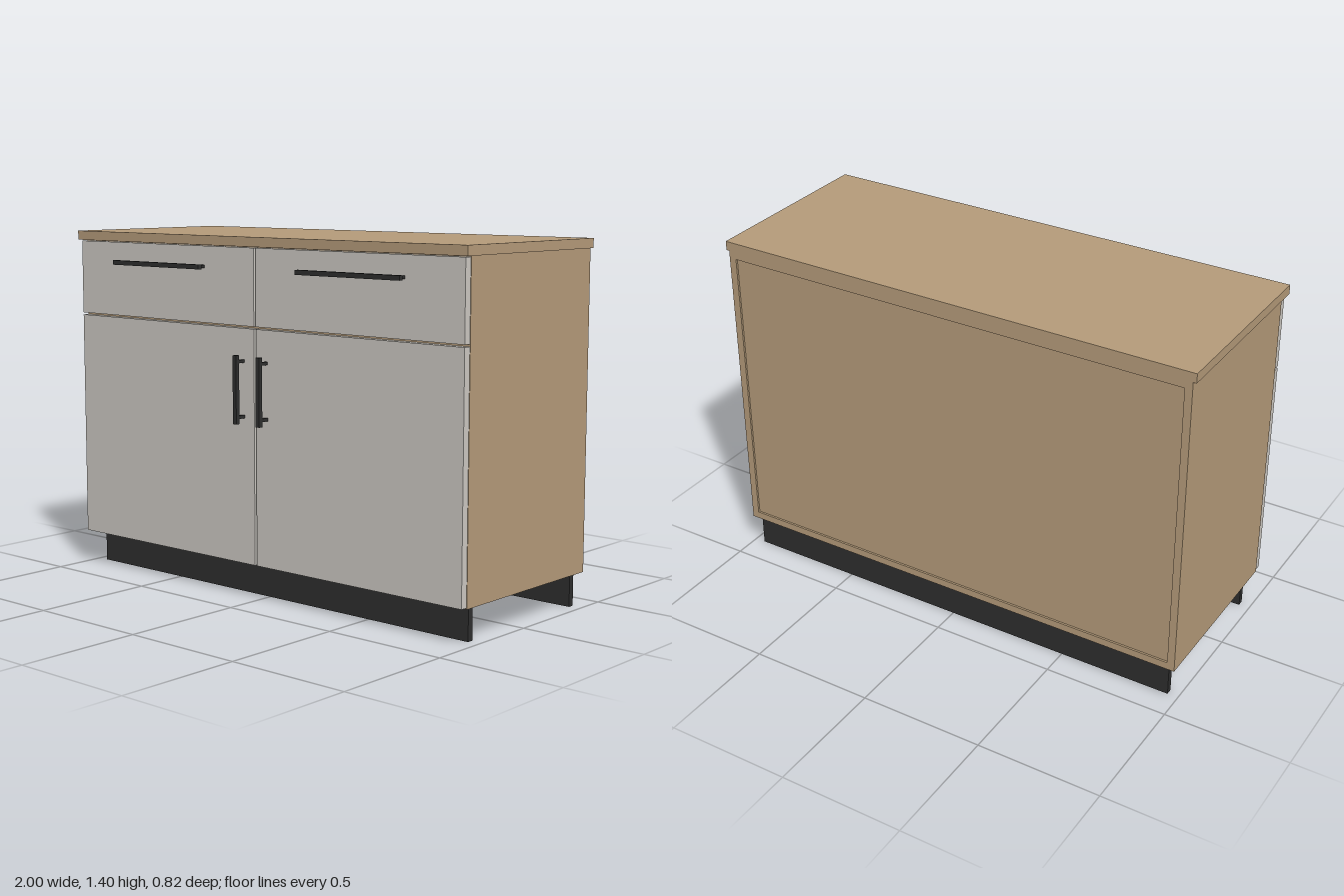
import * as THREE from 'three';

const wood = new THREE.MeshStandardMaterial({ color: 0xb59b7a });
const panel = new THREE.MeshStandardMaterial({ color: 0xcdc9c3 });
const black = new THREE.MeshStandardMaterial({ color: 0x2e2e2e });

// Box given by its extents along each axis
function box(parent, name, material, [x0, x1], [y0, y1], [z0, z1]) {
  const mesh = new THREE.Mesh(new THREE.BoxGeometry(x1 - x0, y1 - y0, z1 - z0), material);
  mesh.position.set((x0 + x1) / 2, (y0 + y1) / 2, (z0 + z1) / 2);
  mesh.name = name;
  parent.add(mesh);
  return mesh;
}

// Bar handle lying along x, with two posts reaching back to the front panel
function barHandle(name, length, postOffset) {
  const handle = new THREE.Group();
  handle.name = name;
  box(handle, 'handleBar', black, [-length / 2, length / 2], [-0.009, 0.009], [0.034, 0.051]);
  for (const s of [-1, 1]) {
    const x = s * postOffset;
    box(handle, 'handlePost', black, [x - 0.006, x + 0.006], [-0.006, 0.006], [0, 0.036]);
  }
  return handle;
}

export function createModel() {
  const cabinet = new THREE.Group();
  cabinet.name = 'sideboard';

  const bottom = 0.133, top = 1.363, back = -0.41, front = 0.33;
  const outer = 0.987, inner = 0.957, board = 0.03;

  box(cabinet, 'worktop', wood, [-1, 1], [top, 1.4], [back, 0.367]);

  // Carcass: boards around a slightly recessed back panel
  const carcass = new THREE.Group();
  carcass.name = 'carcass';
  cabinet.add(carcass);
  const span = [-inner, inner];
  box(carcass, 'leftSide', wood, [inner, outer], [bottom, top], [back, front]);
  box(carcass, 'rightSide', wood, [-outer, -inner], [bottom, top], [back, front]);
  box(carcass, 'bottomBoard', wood, span, [bottom, bottom + board], [back, front]);
  box(carcass, 'topBoard', wood, span, [top - board, top], [back, front]);
  box(carcass, 'backPanel', wood, span, [bottom + board, top - board], [back + 0.008, back + 0.02]);
  box(carcass, 'frontRail', wood, span, [1.04, 1.07], [back + 0.02, front]);
  box(carcass, 'divider', wood, [-0.015, 0.015], [bottom + board, 1.04], [back + 0.02, front]);
  box(carcass, 'drawerDivider', wood, [-0.015, 0.015], [1.07, top - board], [back + 0.02, front]);

  // Plinth boards
  box(cabinet, 'frontPlinth', black, span, [0, bottom], [0.255, 0.28]);
  box(cabinet, 'backPlinth', black, span, [0, bottom], [-0.389, -0.364]);

  // Drawer and door fronts with their handles, mirrored left and right
  const face = 0.359;
  for (const [side, s] of [['left', 1], ['right', -1]]) {
    const width = s > 0 ? [0.005, 0.985] : [-0.985, -0.005];
    box(cabinet, side + 'DrawerFront', panel, width, [1.062, 1.359], [front, face]);
    box(cabinet, side + 'Door', panel, width, [0.138, 1.053], [front, face]);

    const drawerHandle = barHandle(side + 'DrawerHandle', 0.49, 0.222);
    drawerHandle.position.set(s * 0.495, 1.28, face);

    const doorHandle = barHandle(side + 'DoorHandle', 0.264, 0.107);
    doorHandle.rotation.z = Math.PI / 2;
    doorHandle.position.set(s * 0.06, 0.821, face);

    cabinet.add(drawerHandle, doorHandle);
  }
  return cabinet;
}
